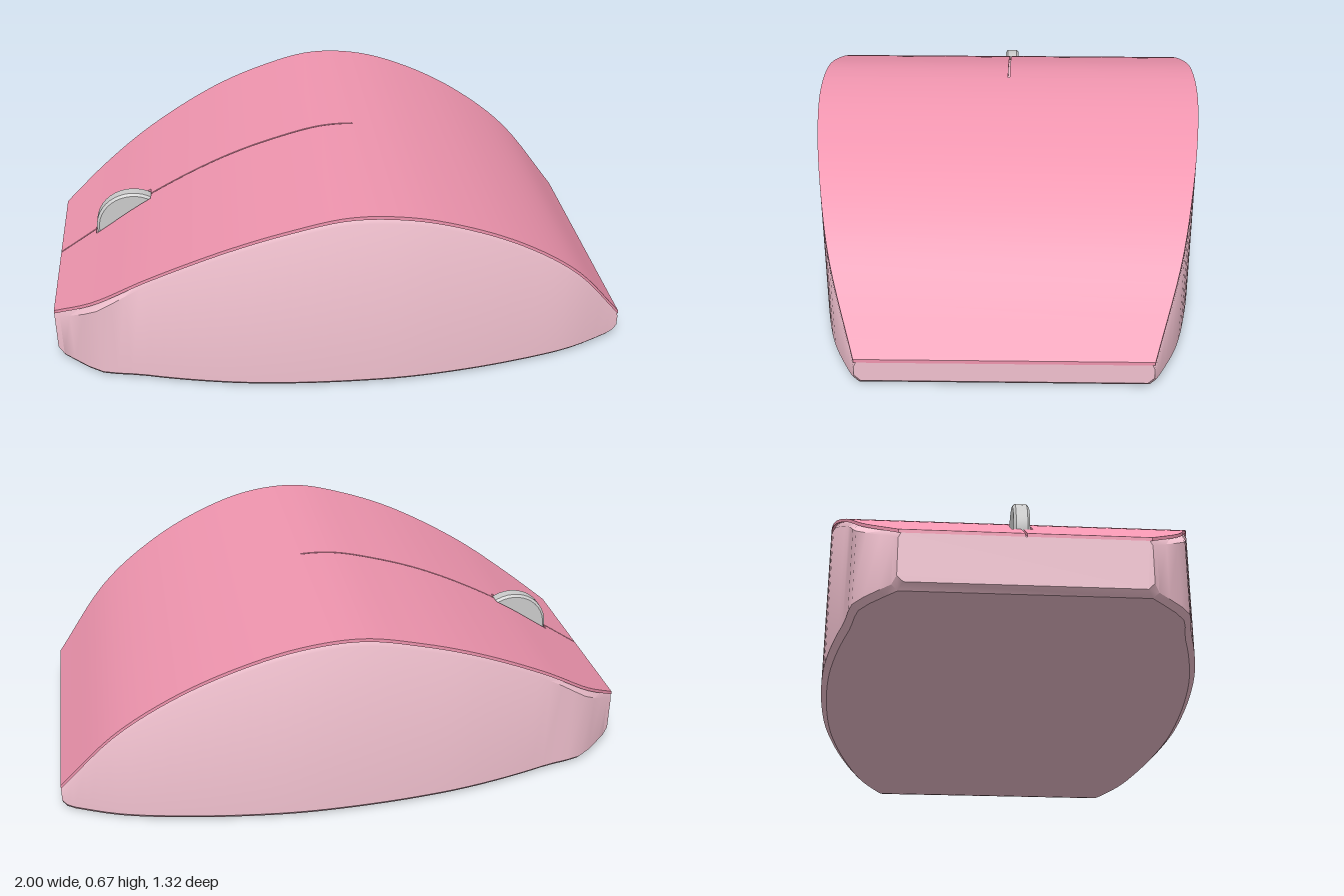
import * as THREE from 'three';
import { toCreasedNormals } from 'three/addons/utils/BufferGeometryUtils.js';

// Stations along the length: x, top height, half width
const stations = [
  [-1, 0.195, 0.38], [-0.85, 0.295, 0.49], [-0.66, 0.42, 0.56], [-0.4, 0.553, 0.622], [-0.2, 0.625, 0.648],
  [0, 0.67, 0.66], [0.2, 0.657, 0.66], [0.4, 0.595, 0.642], [0.6, 0.495, 0.61], [0.8, 0.345, 0.562], [1, 0.1, 0.473],
];
const samples = new THREE.CatmullRomCurve3(stations.map((s) => new THREE.Vector3(...s))).getPoints(400);

// Top height and half width at any x
function sectionAt(x) {
  let i = samples.findIndex((p) => p.x >= x - 1e-9);
  if (i < 0) i = samples.length - 1;
  if (i === 0) return { top: samples[0].y, w: samples[0].z };
  const a = samples[i - 1], b = samples[i];
  const t = (x - a.x) / (b.x - a.x);
  return { top: a.y + (b.y - a.y) * t, w: a.z + (b.z - a.z) * t };
}

function range(from, to, n) {
  return Array.from({ length: n + 1 }, (_, i) => from + ((to - from) * i) / n);
}

// Skin closed rings of [z, y] points along x and cap both ends
function loft(xs, ringAt) {
  const pos = [], index = [];
  let n = 0;
  for (const x of xs) {
    const ring = ringAt(x);
    n = ring.length;
    for (const [z, y] of ring) pos.push(x, y, z);
  }
  for (let i = 0; i < xs.length - 1; i++) {
    for (let j = 0; j < n; j++) {
      const k = (j + 1) % n;
      const a = i * n + j, b = a + n, c = (i + 1) * n + k, d = i * n + k;
      index.push(a, b, c, a, c, d);
    }
  }
  const end = (xs.length - 1) * n;
  for (let j = 1; j < n - 1; j++) {
    index.push(0, j, j + 1, end, end + j + 1, end + j);
  }
  const g = new THREE.BufferGeometry();
  g.setAttribute('position', new THREE.Float32BufferAttribute(pos, 3));
  g.setIndex(index);
  return toCreasedNormals(g, 0.6);
}

export function createModel() {
  const group = new THREE.Group();
  const bodyMat = new THREE.MeshStandardMaterial({ color: 0xf0c0ce });
  const shellMat = new THREE.MeshStandardMaterial({ color: 0xf095af });
  const wheelMat = new THREE.MeshStandardMaterial({ color: 0xcccccc });
  const add = (name, geometry, material) => {
    const mesh = new THREE.Mesh(geometry, material);
    mesh.name = name;
    group.add(mesh);
    return mesh;
  };

  const SHELL = 0.012, BEVEL = 0.02;

  // Lower body: vertical walls, bevelled base, fuller corners beside the nose
  const bodyXs = [-1, -0.98, ...range(-0.94, 0.96, 38), 0.985, 1];
  add('body', loft(bodyXs, (x) => {
    const s = sectionAt(x);
    const w = s.w + 0.022 * Math.max(0, 1 - Math.abs(x + 0.85) / 0.13);
    const t = s.top - SHELL;
    const base = Math.max(0, Math.abs(x) - (1 - BEVEL));
    return [
      [w - BEVEL, base], [w, base + BEVEL], [w, t - 0.016], [s.w - 0.008, t],
      [-s.w + 0.008, t], [-w, t - 0.016], [-w, base + BEVEL], [-w + BEVEL, base],
    ];
  }), bodyMat);

  // Thin top shell: slab between two z limits, following the top curve
  const slab = (xs, limits) => loft(xs, (x) => {
    const { top, w } = sectionAt(x);
    const [lo, hi] = limits(x, w);
    return [[hi, top - SHELL], [hi, top], [lo, top], [lo, top - SHELL]];
  });
  const SPLIT = 0.09;
  add('palmShell', slab(range(SPLIT, 1, 24), (x, w) => [-w, w]), shellMat);

  // Two buttons with a narrow seam that widens around the wheel
  const slotA = -0.862, slotB = -0.652;
  const gap = (x) => (x > slotA && x < slotB ? 0.034 : 0.003);
  const buttonXs = [
    ...range(-1, slotA, 4), ...range(slotA + 0.001, slotB - 0.001, 6), ...range(slotB, SPLIT, 20),
  ];
  add('frontButton', slab(buttonXs, (x, w) => [gap(x), w]), shellMat);
  add('backButton', slab(buttonXs, (x, w) => [-w, -gap(x)]), shellMat);

  // Scroll wheel with softened rims
  const profile = [[0, -0.026], [0.126, -0.026], [0.135, -0.018], [0.135, 0.018], [0.126, 0.026], [0, 0.026]];
  const wheelGeo = new THREE.LatheGeometry(profile.map((p) => new THREE.Vector2(...p)), 40);
  const wheel = add('scrollWheel', toCreasedNormals(wheelGeo, 0.5), wheelMat);
  wheel.rotation.x = Math.PI / 2;
  wheel.position.set(-0.722, 0.305, 0);

  return group;
}
